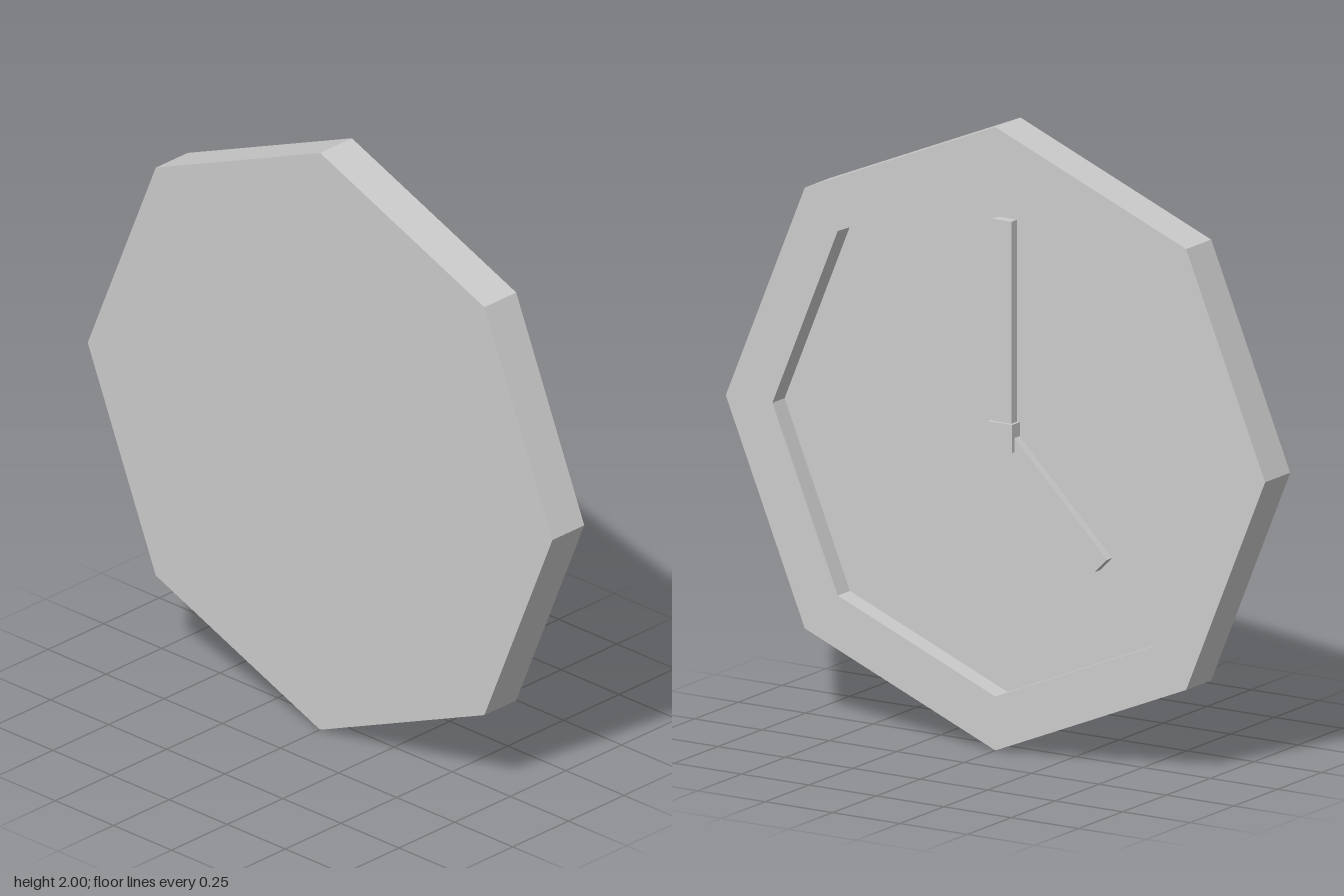
import * as THREE from 'three';

const HALF = 0.0715;   // half thickness of the case
const FLOOR = 0.002;   // height of the recessed dial along x

export function createModel() {
  const group = new THREE.Group();
  const material = new THREE.MeshStandardMaterial({ color: 0xcccccc, flatShading: true });

  // Eight-sided case: flat back, raised rim and recessed dial, facing +x
  const profile = [[0, -HALF], [1, -HALF], [1, HALF], [0.827, HALF], [0.827, FLOOR], [0, FLOOR]]
    .map(([r, h]) => new THREE.Vector2(r, h));
  const caseGeometry = new THREE.LatheGeometry(profile, 8).rotateZ(-Math.PI / 2);
  const clockCase = new THREE.Mesh(caseGeometry, material);
  clockCase.name = 'clockCase';
  clockCase.position.y = 1;
  group.add(clockCase);

  // Block standing on the dial, running from `start` to `end` and turned about the centre
  function addBlock(name, thickness, width, start, end, angle = 0) {
    const geometry = new THREE.BoxGeometry(thickness, end - start, width);
    geometry.translate(FLOOR + thickness / 2, (start + end) / 2, 0);
    const mesh = new THREE.Mesh(geometry, material);
    mesh.name = name;
    mesh.position.y = 1;
    mesh.rotation.x = angle;
    group.add(mesh);
  }

  addBlock('minuteHand', 0.033, 0.07, 0, 0.693);
  addBlock('hourHand', 0.031, 0.064, 0, 0.517, -Math.PI * 0.75);
  addBlock('hub', 0.044, 0.09, -0.045, 0.045);

  return group;
}
